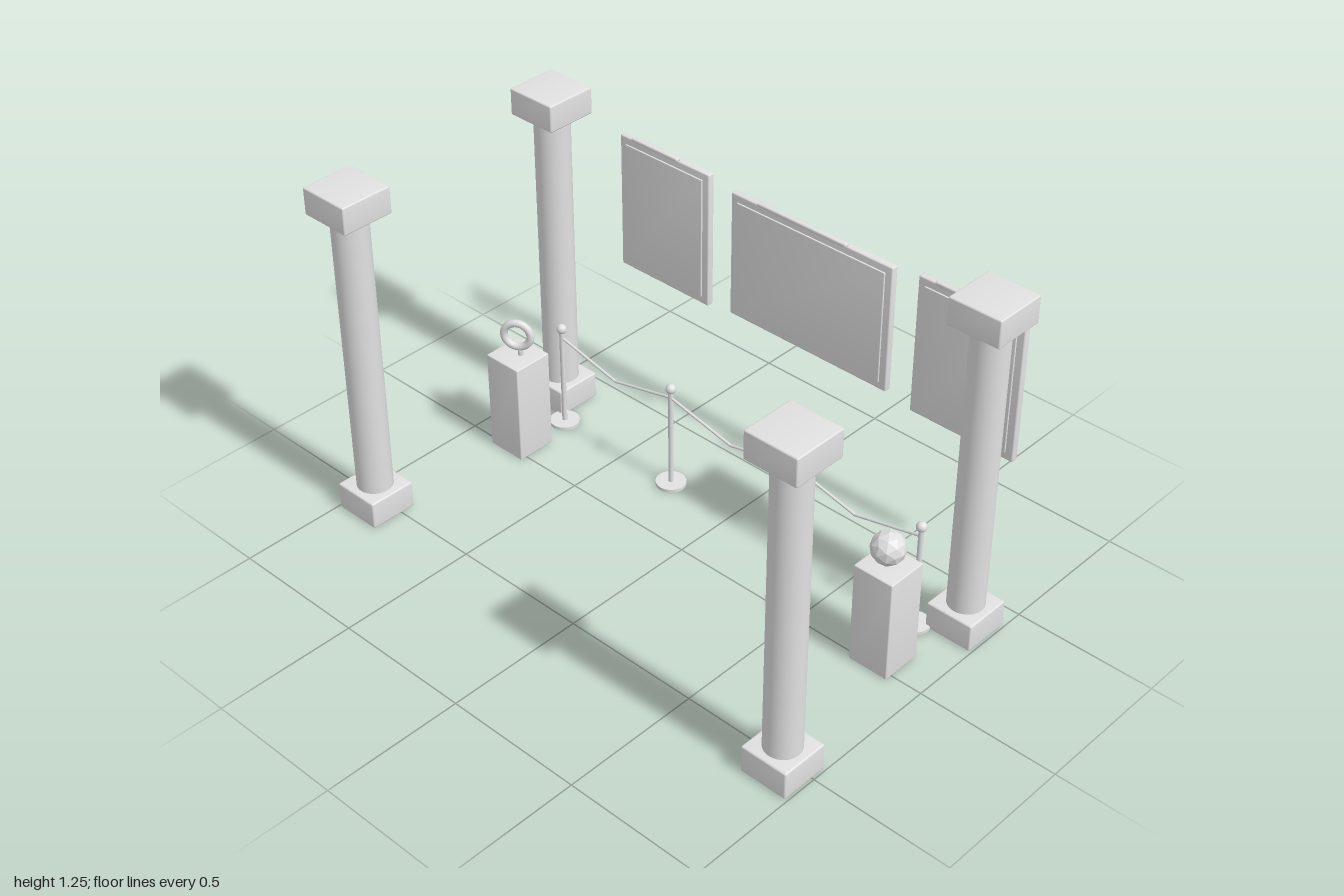
import * as THREE from 'three';
import { RoundedBoxGeometry } from 'three/addons/geometries/RoundedBoxGeometry.js';

export function createModel() {
  const root = new THREE.Group();
  root.name = 'galleryRoom';
  const grey = new THREE.MeshStandardMaterial({ color: 0xe1e1e1 });
  grey.name = 'pale grey';

  const group = (name) => {
    const g = new THREE.Group();
    g.name = name;
    root.add(g);
    return g;
  };
  const add = (parent, name, geo, x, y, z) => {
    const m = new THREE.Mesh(geo, grey);
    m.name = name;
    m.position.set(x, y, z);
    parent.add(m);
    return m;
  };

  // Bevelled box whose normals lean slightly outwards, for softly shaded faces
  const box = (w, h, d, r) => {
    const geo = new RoundedBoxGeometry(w, h, d, 2, r);
    const { position: p, normal: n } = geo.attributes;
    const v = new THREE.Vector3();
    for (let i = 0; i < p.count; i++) {
      const lean = new THREE.Vector3(Math.sign(p.getX(i)), Math.sign(p.getY(i)), Math.sign(p.getZ(i)));
      v.fromBufferAttribute(n, i).addScaledVector(lean, 0.08).normalize();
      n.setXYZ(i, v.x, v.y, v.z);
    }
    return geo;
  };

  // Four columns: square base, round shaft, square capital
  for (const x of [-0.905, 0.905]) {
    for (const z of [-0.337, 0.533]) {
      const g = group('column');
      add(g, 'columnBase', box(0.174, 0.1, 0.174, 0.006), x, 0.05, z);
      add(g, 'columnShaft', new THREE.CylinderGeometry(0.062, 0.062, 1.05, 32), x, 0.623, z);
      add(g, 'columnCapital', box(0.189, 0.097, 0.189, 0.005), x, 1.1965, z);
    }
  }

  // Three framed pictures, each with a slim lamp above
  const pictures = [
    [-0.645, 0.728, 0.408, 0.516, 0.21, 1.023],
    [0, 0.728, 0.678, 0.474, 0.372, 1.002],
    [0.645, 0.728, 0.408, 0.516, 0.21, 1.023],
  ];
  for (const [x, y, w, h, lampW, lampY] of pictures) {
    const g = group('picture');
    add(g, 'pictureFrame', box(w, h, 0.027, 0.005), x, y, -0.6135);
    add(g, 'pictureCanvas', box(w - 0.055, h - 0.055, 0.009, 0.002), x, y, -0.599);
    add(g, 'pictureLamp', box(lampW, 0.014, 0.021, 0.005), x, lampY, -0.56);
  }

  // Rope barrier: four posts and three sagging ropes
  const barrier = group('ropeBarrier');
  const postX = [-0.787, -0.27, 0.27, 0.787];
  const zRope = -0.235;
  postX.forEach((x) => {
    add(barrier, 'postFoot', new THREE.CylinderGeometry(0.053, 0.053, 0.012, 28), x, 0.006, zRope);
    add(barrier, 'postPole', new THREE.CylinderGeometry(0.009, 0.009, 0.375, 16), x, 0.199, zRope);
    add(barrier, 'postKnob', new THREE.SphereGeometry(0.018, 20, 14), x, 0.396, zRope);
  });
  const up = new THREE.Vector3(0, 1, 0);
  const rope = (a, b) => {
    const dir = b.clone().sub(a);
    const mid = a.clone().add(b).multiplyScalar(0.5);
    const m = add(barrier, 'rope', new THREE.CylinderGeometry(0.005, 0.005, dir.length() + 0.003, 10),
      mid.x, mid.y, mid.z);
    m.quaternion.setFromUnitVectors(up, dir.normalize());
  };
  for (let i = 0; i < 3; i++) {
    const a = new THREE.Vector3(postX[i], 0.36, zRope);
    const b = new THREE.Vector3(postX[i + 1], 0.36, zRope);
    const sag = new THREE.Vector3((a.x + b.x) / 2, 0.3, zRope);
    rope(a, sag);
    rope(sag, b);
  }

  // Two pedestals, each carrying a sculpture
  for (const x of [-0.81, 0.81]) {
    add(group('pedestalStand'), 'pedestal', box(0.149, 0.375, 0.149, 0.004), x, 0.1875, -0.048);
  }
  const art = group('sculptures');
  // Polyhedron normals are already flat at detail 0, so the finer ball is flattened here
  const ball = new THREE.IcosahedronGeometry(0.058, 1);
  ball.computeVertexNormals();
  add(art, 'facetedBall', ball, 0.806, 0.437, -0.048);
  const ring = add(art, 'ring', new THREE.TorusGeometry(0.047, 0.0135, 14, 40), -0.81, 0.452, -0.05);
  ring.rotation.y = 0.5;
  add(art, 'ringStem', new THREE.CylinderGeometry(0.009, 0.009, 0.02, 14), -0.8, 0.384, -0.053);

  return root;
}
